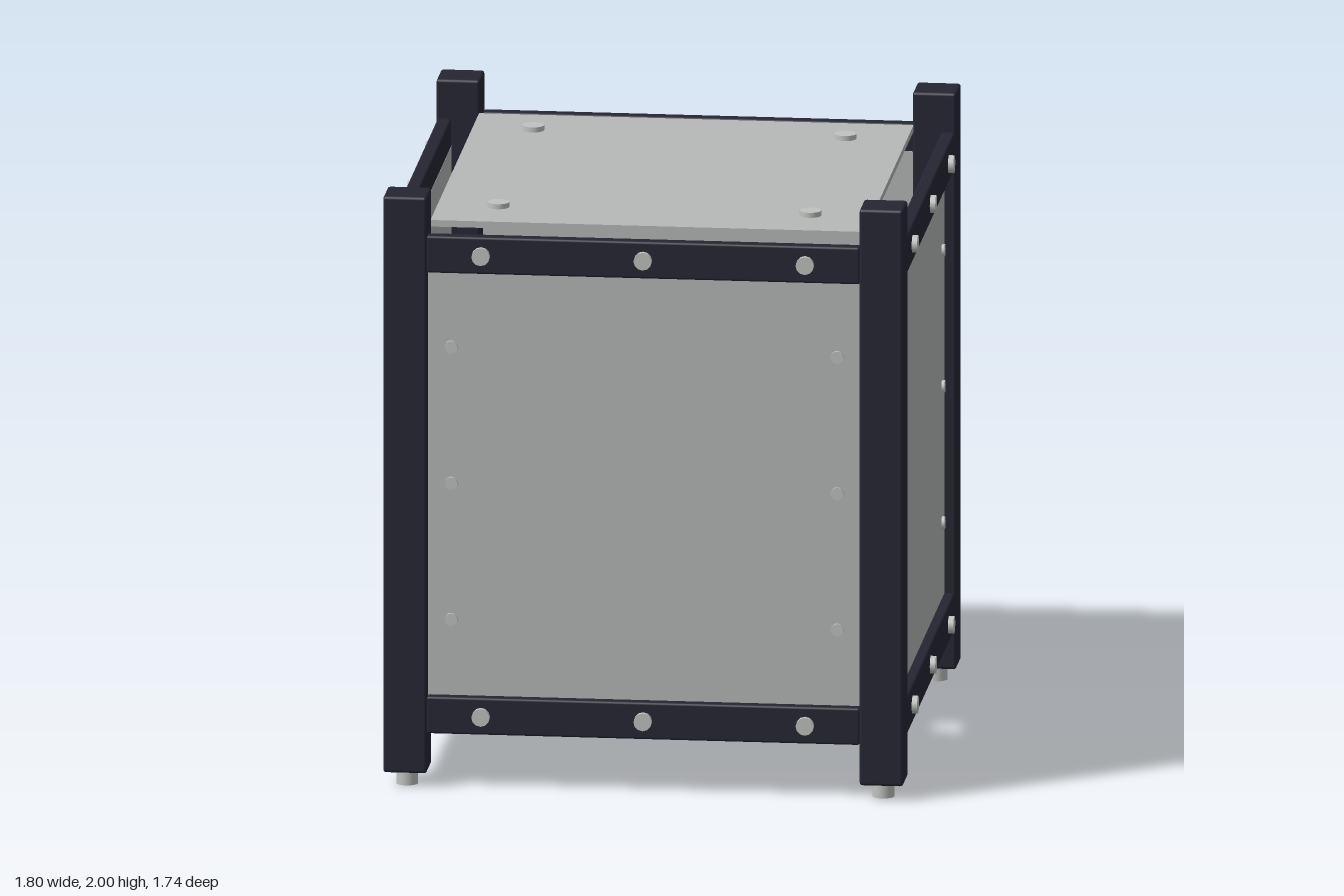
import * as THREE from 'three';
import { RoundedBoxGeometry } from 'three/addons/geometries/RoundedBoxGeometry.js';

const mat = (name, color) => {
  const m = new THREE.MeshStandardMaterial({ color });
  m.name = name;
  return m;
};

export function createModel() {
  const frameMat = mat('dark anodised frame', 0x252633);
  const panelMat = mat('grey panel', 0xb7b9b9);
  const steelMat = mat('steel fastener', 0xc0c3c0);
  const blackMat = mat('black socket plate', 0x20232b);
  const goldMat = mat('gold contact', 0xc9b36a);
  const redMat = mat('red tag', 0xcc4f30);

  const root = new THREE.Group();
  root.name = 'cubeSatellite';
  // The frame sits slightly off centre because the pin sticks out on one side
  const body = new THREE.Group();
  body.name = 'body';
  body.position.x = 0.027;
  root.add(body);

  const add = (parent, name, geo, material, x, y, z) => {
    const m = new THREE.Mesh(geo, material);
    m.name = name;
    m.position.set(x, y, z);
    parent.add(m);
    return m;
  };

  // Corner posts with round feet
  const postGeo = new RoundedBoxGeometry(0.144, 1.95, 0.144, 2, 0.01);
  const footGeo = new THREE.CylinderGeometry(0.036, 0.036, 0.06, 20);
  for (const sx of [-1, 1]) for (const sz of [-1, 1]) {
    add(body, 'cornerPost', postGeo, frameMat, sx * 0.786, 1.025, sz * 0.786);
    add(body, 'foot', footGeo, steelMat, sx * 0.786, 0.03, sz * 0.786);
  }

  // Four identical walls: two rails, a recessed panel and their bolts
  const railGeo = new RoundedBoxGeometry(1.43, 0.125, 0.046, 2, 0.008);
  const wallGeo = new THREE.BoxGeometry(1.43, 1.5, 0.013);
  const railBoltGeo = new THREE.CylinderGeometry(0.03, 0.03, 0.03, 12).rotateX(Math.PI / 2);
  const wallBoltGeo = new THREE.CylinderGeometry(0.021, 0.021, 0.02, 16).rotateX(Math.PI / 2);
  ['front', 'left', 'back', 'right'].forEach((side, i) => {
    const wall = new THREE.Group();
    wall.name = side + 'Wall';
    wall.rotation.y = i * Math.PI / 2;
    body.add(wall);
    add(wall, 'wallPanel', wallGeo, panelMat, 0, 1.027, 0.8135);
    for (const y of [0.248, 1.807]) {
      add(wall, 'rail', railGeo, frameMat, 0, y, 0.831);
      for (const x of [-0.535, 0, 0.535]) add(wall, 'railBolt', railBoltGeo, steelMat, x, y, 0.857);
    }
    for (const x of [-0.637, 0.637]) for (const y of [0.567, 1.028, 1.489]) {
      add(wall, 'wallBolt', wallBoltGeo, steelMat, x, y, 0.82);
    }
  });

  // Top and bottom plates
  const plateGeo = new THREE.BoxGeometry(1.434, 0.022, 1.434);
  add(body, 'topPlate', plateGeo, panelMat, 0, 1.878, 0);
  add(body, 'bottomPlate', plateGeo, panelMat, 0, 0.176, 0);
  const plateBoltGeo = new THREE.CylinderGeometry(0.036, 0.036, 0.024, 20);
  for (const x of [-0.515, 0.515]) for (const z of [-0.515, 0.515]) {
    add(body, 'topBolt', plateBoltGeo, steelMat, x, 1.894, z);
  }

  // Access port on the right side: socket plate with three contacts
  const port = new THREE.Group();
  port.name = 'accessPort';
  root.add(port);
  add(port, 'socketPlate', new THREE.BoxGeometry(0.009, 0.35, 0.6), blackMat, -0.797, 0.915, 0.2);
  const contactGeo = new THREE.BoxGeometry(0.008, 0.205, 0.1);
  for (const z of [0.058, 0.194, 0.33]) add(port, 'contact', contactGeo, goldMat, -0.8, 0.908, z);

  // Release pin and hanging tag
  const pinGeo = new THREE.CylinderGeometry(0.034, 0.034, 0.11, 20).rotateZ(Math.PI / 2);
  add(root, 'releasePin', pinGeo, steelMat, -0.849, 0.91, -0.417);
  add(root, 'releaseTag', new THREE.BoxGeometry(0.009, 0.51, 0.137), redMat, -0.893, 0.585, -0.417);

  return root;
}
